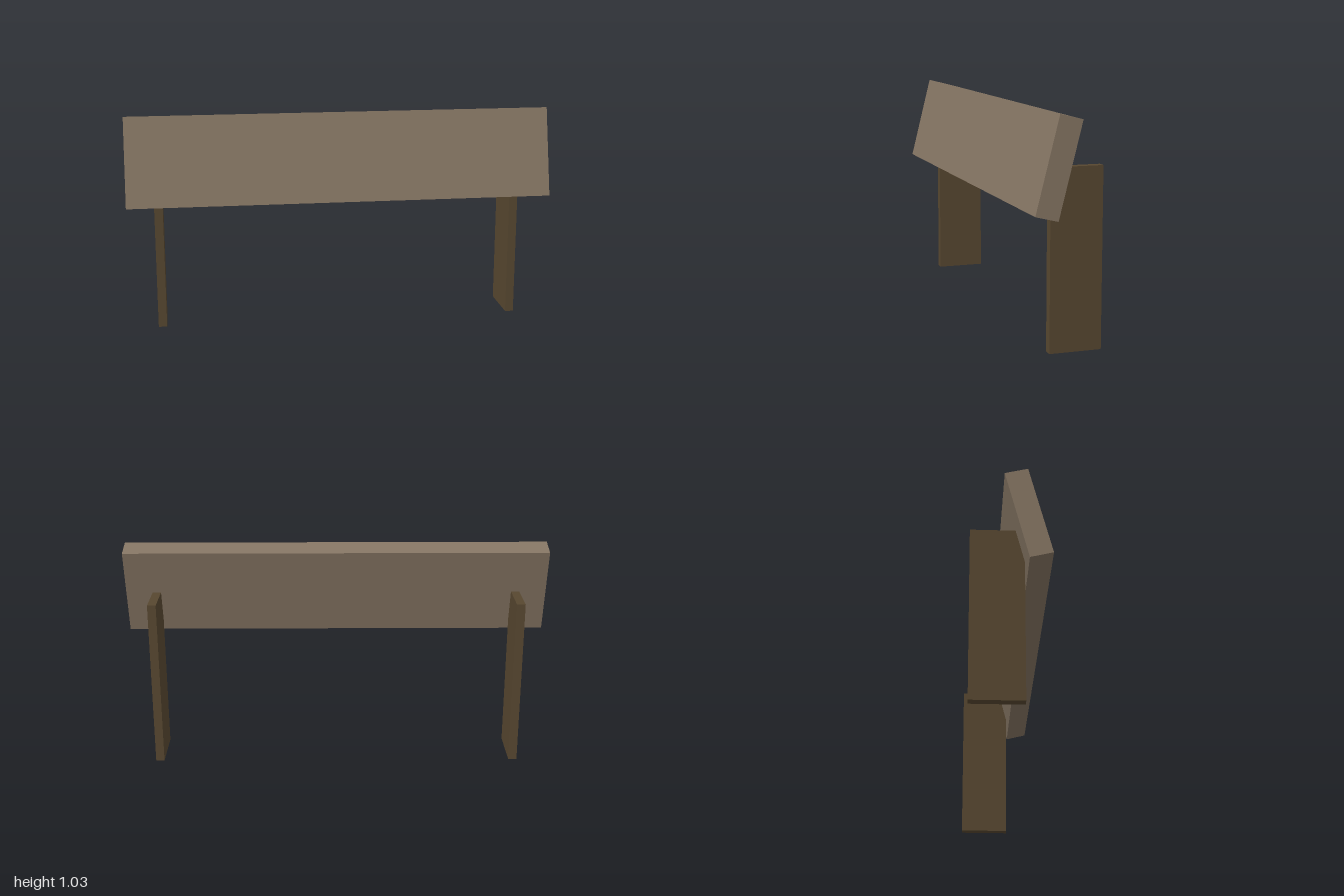
import * as THREE from 'three';

export function createModel() {
  const model = new THREE.Group();
  const beamWood = new THREE.MeshStandardMaterial({ color: 0x857563 });
  beamWood.name = 'light wood';
  const postWood = new THREE.MeshStandardMaterial({ color: 0x574730 });
  postWood.name = 'dark wood';

  // Long board leaning back
  const board = new THREE.Mesh(new THREE.BoxGeometry(2, 0.423, 0.103), beamWood);
  board.name = 'board';
  board.position.set(0, 0.8075, 0.0715);
  board.rotation.x = -Math.atan2(0.103, 0.41);
  model.add(board);

  // Two upright posts let into the back of the board
  for (const [side, name] of [[1, 'leftPost'], [-1, 'rightPost']]) {
    const post = new THREE.Mesh(new THREE.BoxGeometry(0.04, 0.793, 0.234), postWood);
    post.name = name;
    post.position.set(side * 0.855, 0.3965, -0.056);
    model.add(post);
  }
  return model;
}
